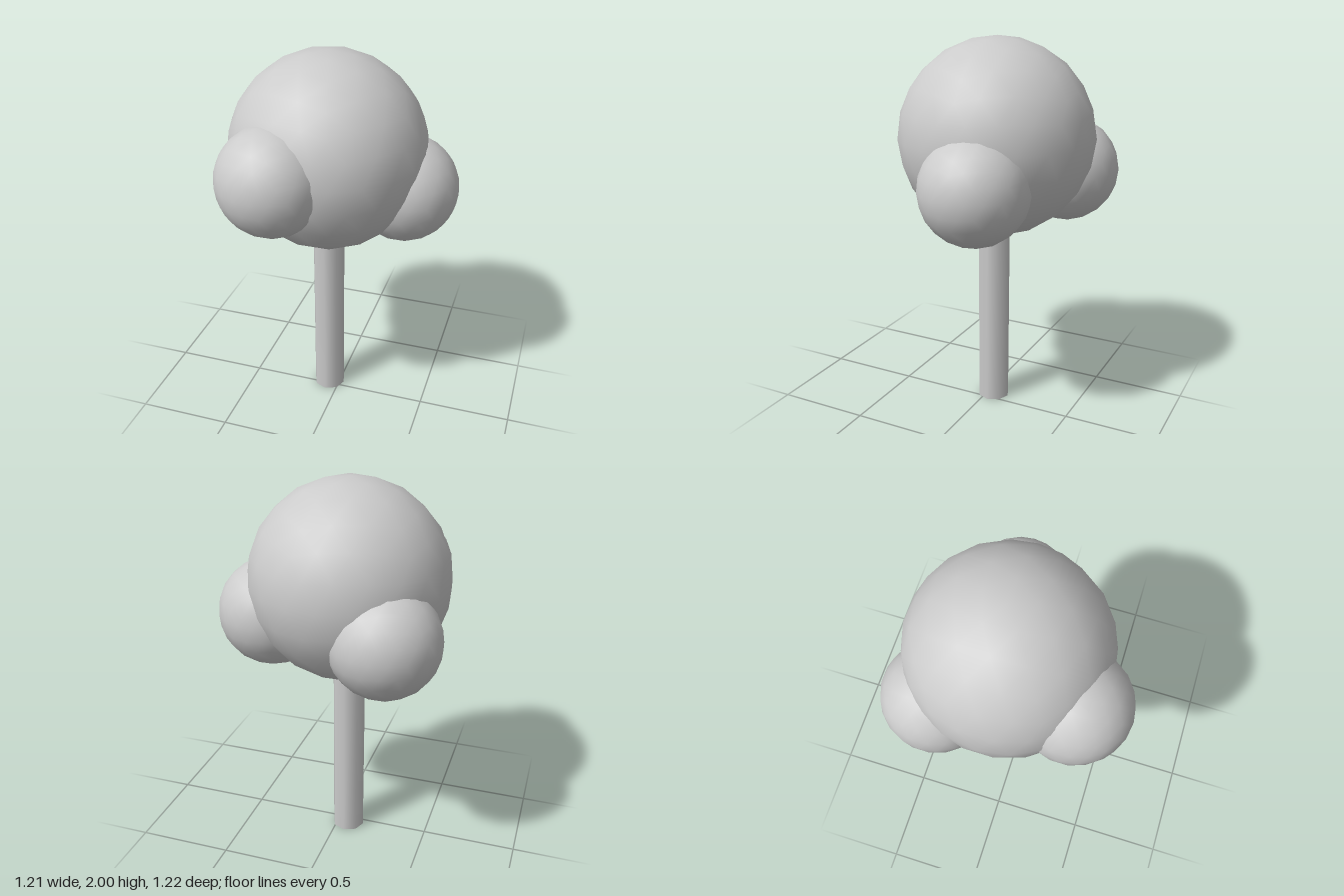
import * as THREE from 'three';

const material = new THREE.MeshStandardMaterial({ color: 0xcccccc });

// Low-poly ball with a vertex straight up and smooth normals
function foliage(name, radius, x, y, z) {
  const geometry = new THREE.IcosahedronGeometry(radius, 3);
  geometry.rotateZ(Math.atan(2 / (1 + Math.sqrt(5)))).rotateY(Math.PI);
  const mesh = new THREE.Mesh(geometry, material);
  mesh.name = name;
  mesh.position.set(x, y, z);
  return mesh;
}

export function createModel() {
  const tree = new THREE.Group();
  tree.name = 'tree';

  // Trunk, running up into the crown
  const trunkHeight = 1.2;
  const trunk = new THREE.Mesh(new THREE.CylinderGeometry(0.087, 0.087, trunkHeight, 8), material);
  trunk.name = 'trunk';
  trunk.position.set(-0.06, trunkHeight / 2, -0.035);
  tree.add(trunk);

  // Large crown with three smaller clumps around it
  tree.add(
    foliage('crown', 0.513, -0.063, 1.487, -0.045),
    foliage('frontClump', 0.28, -0.225, 1.455, 0.328),
    foliage('leftClump', 0.28, 0.325, 1.298, -0.115),
    foliage('backClump', 0.28, -0.325, 1.298, -0.33)
  );
  return tree;
}
